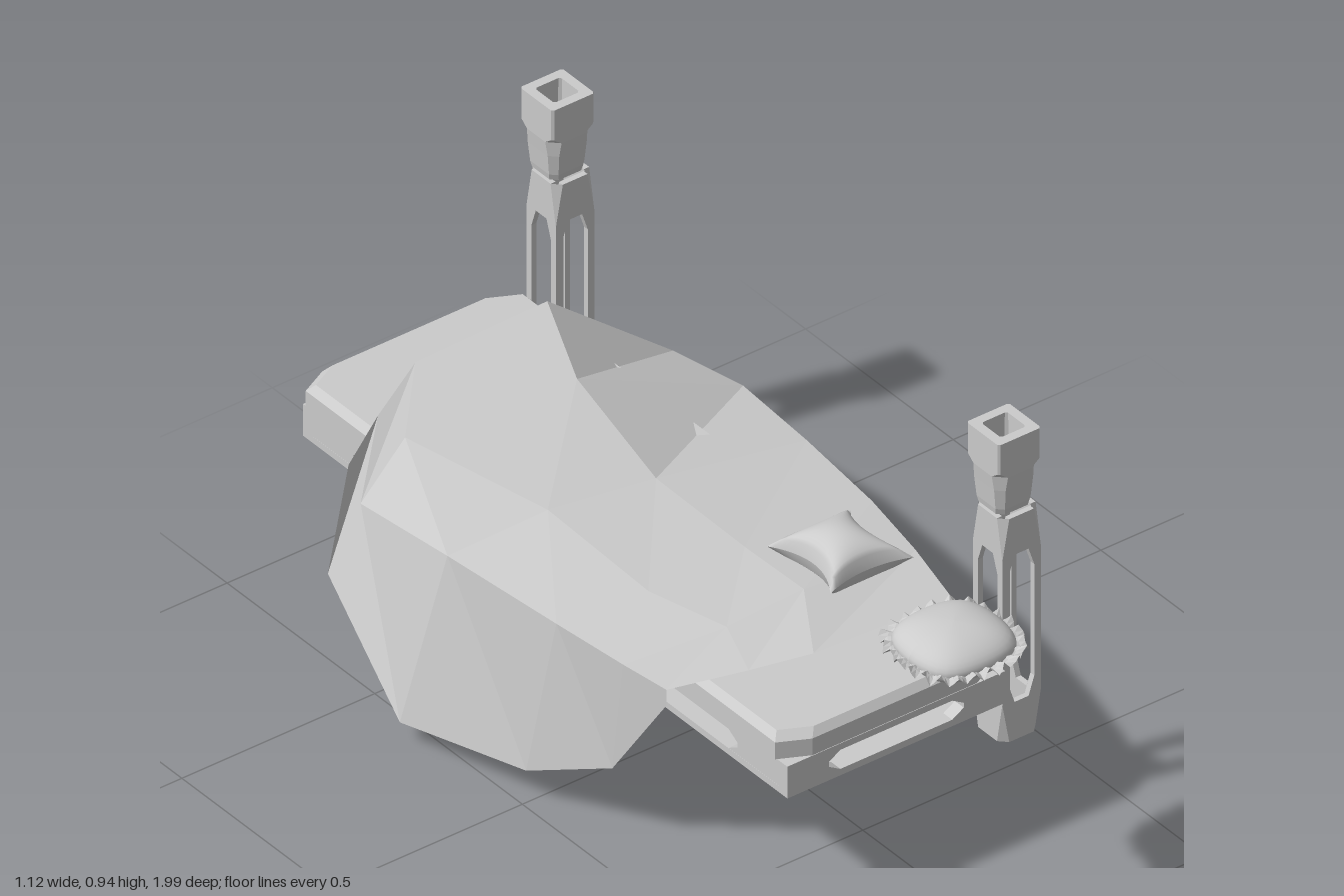
import * as THREE from 'three';

const flat = new THREE.MeshStandardMaterial({ color: 0xcccccc, flatShading: true, side: THREE.DoubleSide });
const smooth = new THREE.MeshStandardMaterial({ color: 0xcccccc, side: THREE.DoubleSide });

function add(parent, name, geometry, material = flat) {
  const mesh = new THREE.Mesh(geometry, material);
  mesh.name = name;
  parent.add(mesh);
  return mesh;
}

// Skin over rows of [x, y, z] points
function skin(rows, closed = false) {
  const n = rows[0].length, index = [];
  for (let r = 0; r < rows.length - 1; r++) {
    for (let i = 0; i < (closed ? n : n - 1); i++) {
      const j = (i + 1) % n, a = r * n + i, b = r * n + j, c = a + n, d = b + n;
      index.push(a, c, b, b, c, d);
    }
  }
  const g = new THREE.BufferGeometry();
  g.setAttribute('position', new THREE.Float32BufferAttribute(rows.flat(2), 3));
  g.setIndex(index);
  const out = g.toNonIndexed();
  out.computeVertexNormals();
  return out;
}

// Rectangle with cut corners at height y; w and l are half sizes
function cutRect(y, w, l, cw, cl) {
  return [[w, l - cl], [w - cw, l], [cw - w, l], [-w, l - cl], [-w, cl - l], [cw - w, -l], [w - cw, -l], [w, cl - l]]
    .map(([x, z]) => [x, y, z]);
}

// Plate with an octagonal slot; ends may narrow by c over the height e
function slotPlate(w, h, sw, sh, cut, depth, c = 0, e = 0, cutX = cut) {
  const x = w / 2, y = h / 2, a = sw / 2, b = sh / 2;
  const points = list => list.map(p => new THREE.Vector2(...p));
  const outline = c
    ? [[c - x, -y], [x - c, -y], [x, e - y], [x, y - e], [x - c, y], [c - x, y], [-x, y - e], [-x, e - y]]
    : [[-x, -y], [x, -y], [x, y], [-x, y]];
  const shape = new THREE.Shape(points(outline));
  shape.holes.push(new THREE.Path(points([
    [a, cut - b], [a - cutX, -b], [cutX - a, -b], [-a, cut - b],
    [-a, b - cut], [cutX - a, b], [a - cutX, b], [a, b - cut]])));
  return new THREE.ExtrudeGeometry(shape, { depth, bevelEnabled: false });
}

function makeFrame() {
  const frame = new THREE.Group();
  frame.name = 'bedFrame';
  frame.position.set(-0.028, 0.34, -0.17);
  for (const s of [1, -1]) {
    const end = add(frame, 'endRail', slotPlate(0.565, 0.08, 0.35, 0.048, 0.018, 0.03, 0, 0, 0.03));
    end.position.z = s > 0 ? 0.79 : -0.82;
    const side = add(frame, 'sideRail', slotPlate(1.64, 0.08, 1.3, 0.048, 0.018, 0.03, 0, 0, 0.03));
    side.rotation.y = Math.PI / 2;
    side.position.x = s > 0 ? 0.252 : -0.282;
  }
  const base = add(frame, 'basePanel', slotPlate(0.565, 1.64, 0.3, 1.0, 0.07, 0.016));
  base.rotation.x = -Math.PI / 2;
  base.position.y = -0.04;
  return frame;
}

function makeMattress() {
  const rings = [[0.375, 0.28], [0.375, 0.02], [0.39, 0], [0.432, 0], [0.449, 0.015], [0.449, 0.28]];
  const rows = rings.map(([y, inset]) => inset > 0.1
    ? cutRect(y, 0, 0, 0, 0)
    : cutRect(y, 0.283 - inset, 0.83 - inset, 0.07, 0.035));
  const g = skin(rows, true);
  g.translate(-0.04, 0, -0.17);
  return g;
}

// Bedpost: four slotted walls with cut corners, and a flared hollow head
function makePost(z) {
  const post = new THREE.Group();
  post.name = 'bedpost';
  post.position.set(0.303, 0, z);
  const h = 0.05, c = 0.018, e = 0.1, y0 = 0.19, y1 = 0.75;
  for (let i = 0; i < 4; i++) {
    const side = new THREE.Group();
    side.rotation.y = i * Math.PI / 2;
    post.add(side);
    const wall = add(side, 'postWall', slotPlate(2 * h, y1 - y0, 0.066, 0.37, 0.045, 0.013, c, e, 0.015));
    wall.position.set(0, (y0 + y1) / 2, h - 0.013);
    for (const [end, tip] of [[y0, y0 + e], [y1, y1 - e]]) {
      add(side, 'postCorner', skin([[[h - c, end, h], [h, end, h - c]], [[h, tip, h], [h, tip, h]]]));
    }
  }
  const rings = [[0.76, 0.043, 0.014], [0.775, 0.046, 0.014], [0.825, 0.051, 0.017], [0.86, 0.055, 0.024],
    [0.875, 0.055, 0.005], [0.95, 0.055, 0.005], [0.95, 0.033, 0.005], [0.86, 0.032, 0.006],
    [0.76, 0.029, 0.006], [0.76, 0.043, 0.014]];
  const head = add(post, 'postHead', skin(rings.map(([y, w, k]) => cutRect(y, w, w, k, k)), true));
  head.position.x = -0.008;
  return post;
}

// Draped blanket: rows from head to foot, each running from right hem to left hem
function makeBlanket() {
  return skin([
    [[-0.43, 0.45, -0.68], [-0.3, 0.48, -0.75], [-0.15, 0.51, -0.82], [0.2, 0.51, -0.83], [0.48, 0.3, -0.77], [0.485, 0.29, -0.77]],
    [[-0.545, 0.27, -0.6], [-0.46, 0.41, -0.6], [-0.36, 0.545, -0.58], [0.04, 0.555, -0.52], [0.44, 0.39, -0.48], [0.56, 0.015, -0.65]],
    [[-0.565, 0.055, -0.33], [-0.48, 0.465, -0.28], [-0.25, 0.505, -0.24], [0, 0.5, -0.2], [0.36, 0.465, -0.16], [0.43, 0.005, -0.38]],
    [[-0.49, 0.085, 0], [-0.45, 0.465, 0.05], [-0.25, 0.49, 0.1], [0, 0.495, 0.1], [0.33, 0.47, 0.1], [0.43, 0.05, -0.08]],
    [[-0.435, 0.19, 0.22], [-0.43, 0.465, 0.25], [-0.2, 0.49, 0.3], [0, 0.5, 0.3], [0.29, 0.475, 0.3], [0.43, 0.09, 0.2]],
    [[-0.41, 0.42, 0.37], [-0.41, 0.46, 0.37], [-0.25, 0.48, 0.44], [-0.12, 0.495, 0.49], [0.24, 0.48, 0.49], [0.36, 0.18, 0.44]],
  ]);
}

// Small cushion with pulled-out corners
function makeCushion() {
  const group = new THREE.Group();
  group.name = 'pointedCushion';
  group.position.set(-0.03, 0.697, 0.463);
  for (const s of [1, -1]) {
    const g = new THREE.PlaneGeometry(2, 2, 20, 20), p = g.attributes.position;
    for (let i = 0; i < p.count; i++) {
      const u = p.getX(i), v = p.getY(i);
      const puff = Math.pow(Math.max(0, (1 - u * u) * (1 - v * v)), 0.4);
      p.setXYZ(i, 0.108 * u * (1 - 0.35 * (1 - v * v)), s * 0.056 * puff, 0.107 * v * (1 - 0.2 * (1 - u * u)));
    }
    g.computeVertexNormals();
    add(group, 'cushionHalf', g, smooth);
  }
  return group;
}

// Rounded-square pillow with a wavy frill
function makeFrillPillow() {
  const group = new THREE.Group();
  group.name = 'frilledPillow';
  group.position.set(-0.03, 0.686, 0.848);
  const squareness = t => Math.pow(Math.cos(t) ** 4 + Math.sin(t) ** 4, -0.14);
  const body = new THREE.SphereGeometry(1, 40, 20), p = body.attributes.position;
  for (let i = 0; i < p.count; i++) {
    const x = p.getX(i), z = p.getZ(i), k = 0.118 * squareness(Math.atan2(z, x));
    p.setXYZ(i, x * k, p.getY(i) * 0.053, z * k);
  }
  body.computeVertexNormals();
  add(group, 'pillowBody', body, smooth);
  const frill = [0, 0.5, 1].map(f => Array.from({ length: 96 }, (_, i) => {
    const t = i / 96 * Math.PI * 2;
    const r = (0.108 + f * (0.03 + 0.005 * Math.sin(t * 18))) * squareness(t);
    return [r * Math.cos(t), f * 0.011 * Math.sin(t * 24), r * Math.sin(t)];
  }));
  add(group, 'pillowFrill', skin(frill, true));
  return group;
}

export function createModel() {
  const bed = new THREE.Group();
  bed.name = 'bed';
  bed.add(makeFrame());
  add(bed, 'mattress', makeMattress());
  add(bed, 'blanket', makeBlanket());
  bed.add(makePost(0.592), makePost(-0.92), makeCushion(), makeFrillPillow());
  return bed;
}
